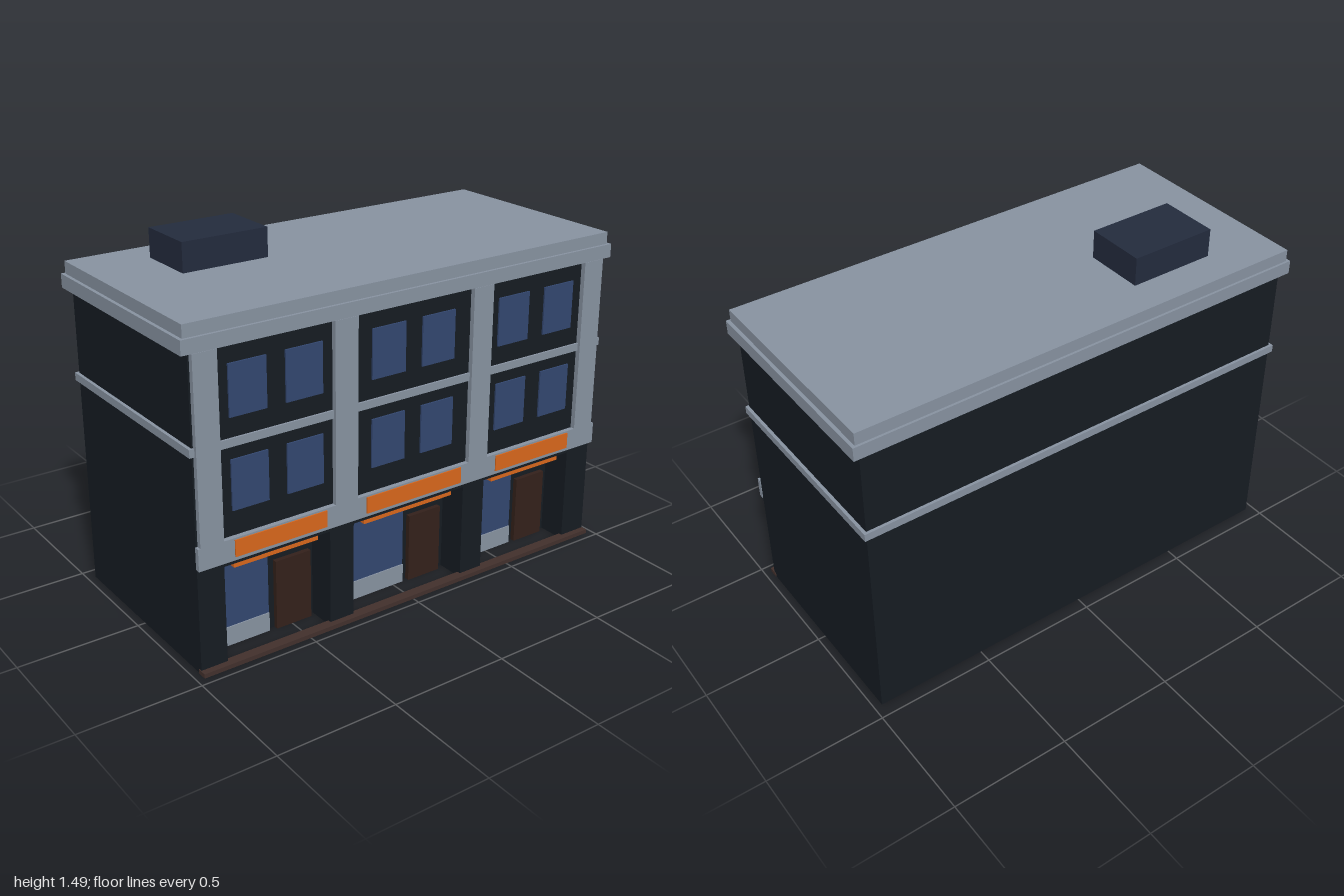
import * as THREE from 'three';

const material = (color) => new THREE.MeshStandardMaterial({ color });

export function createModel() {
  const building = new THREE.Group();
  building.name = 'shopTerrace';

  const wall = material(0x151b22);
  const stone = material(0x8792a0);
  const glass = material(0x32466f);
  const orange = material(0xd8661c);
  const wood = material(0x33201a);
  const kerb = material(0x42302c);
  const metal = material(0x232b3d);

  // Box given by its extents on each axis
  function block(name, mat, [x0, x1], [y0, y1], [z0, z1], parent = building) {
    const mesh = new THREE.Mesh(new THREE.BoxGeometry(x1 - x0, y1 - y0, z1 - z0), mat);
    mesh.position.set((x0 + x1) / 2, (y0 + y1) / 2, (z0 + z1) / 2);
    mesh.name = name;
    parent.add(mesh);
    return mesh;
  }

  const half = 0.967, eaves = 1.26, front = 0.44, recess = 0.315;

  // Each bay: shop opening, shop window, door, signs and upper window positions
  const bays = [
    { opening: [-0.855, -0.39], window: [-0.85, -0.6], door: [-0.57, -0.41],
      sign: [-0.82, -0.42], awning: [-0.805, -0.435], upper: [[-0.815, -0.66], [-0.58, -0.422]] },
    { opening: [-0.28, 0.265], window: [-0.268, 0.05], door: [0.075, 0.235],
      sign: [-0.235, 0.23], awning: [-0.22, 0.215], upper: [[-0.2, -0.045], [0.035, 0.192]] },
    { opening: [0.375, 0.845], window: [0.385, 0.635], door: [0.66, 0.815],
      sign: [0.415, 0.815], awning: [0.43, 0.8], upper: [[0.415, 0.572], [0.655, 0.81]] },
  ];

  // Main body, with a front wall notched for the recessed shopfronts
  block('mainBody', wall, [-half, half], [0, eaves], [-0.443, recess]);
  const outline = new THREE.Shape();
  outline.moveTo(-half, 0);
  for (const { opening: [a, b] } of bays) {
    outline.lineTo(a, 0);
    outline.lineTo(a, 0.415);
    outline.lineTo(b, 0.415);
    outline.lineTo(b, 0);
  }
  outline.lineTo(half, 0);
  outline.lineTo(half, eaves);
  outline.lineTo(-half, eaves);
  outline.closePath();
  const frontWall = new THREE.Mesh(
    new THREE.ExtrudeGeometry(outline, { depth: front - recess, bevelEnabled: false }), wall);
  frontWall.position.z = recess;
  frontWall.name = 'frontWall';
  building.add(frontWall);

  // Shopfronts and upper windows
  bays.forEach((bay, i) => {
    const group = new THREE.Group();
    group.name = `bay${i + 1}`;
    building.add(group);
    block('shopWindow', glass, bay.window, [0.08, 0.395], [recess - 0.01, 0.325], group);
    block('stallRiser', stone, bay.window, [0, 0.08], [recess - 0.01, 0.33], group);
    block('door', wood, bay.door, [0, 0.295], [recess - 0.01, 0.335], group);
    block('awning', orange, bay.awning, [0.388, 0.414], [recess, 0.425], group);
    block('signBoard', orange, bay.sign, [0.455, 0.523], [front, 0.466], group);
    for (const span of bay.upper)
      for (const y of [0.63, 0.99])
        block('upperWindow', glass, span, [y, y + 0.2], [front - 0.01, 0.447], group);
  });

  // Stone facade: pilasters and shop fascia
  for (const span of [[-0.96, -0.863], [-0.377, -0.275], [0.272, 0.37], [0.857, 0.957]])
    block('pilaster', stone, span, [0.53, eaves], [front, 0.461]);
  block('fascia', stone, [-0.97, 0.97], [0.44, 0.53], [front, 0.461]);

  // String course, two-step cornice with flat roof, and kerb
  block('stringCourse', stone, [-0.98, 0.98], [0.88, 0.912], [-0.455, 0.449]);
  block('lowerCornice', stone, [-1, 1], [eaves, 1.316], [-0.466, 0.459]);
  block('upperCornice', stone, [-0.986, 0.986], [1.316, 1.366], [-0.456, 0.447]);
  block('kerb', kerb, [-0.97, 0.97], [0, 0.018], [0.425, 0.467]);

  // Rooftop unit
  block('roofUnit', metal, [-0.702, -0.332], [1.366, 1.485], [-0.305, -0.05]);

  return building;
}
